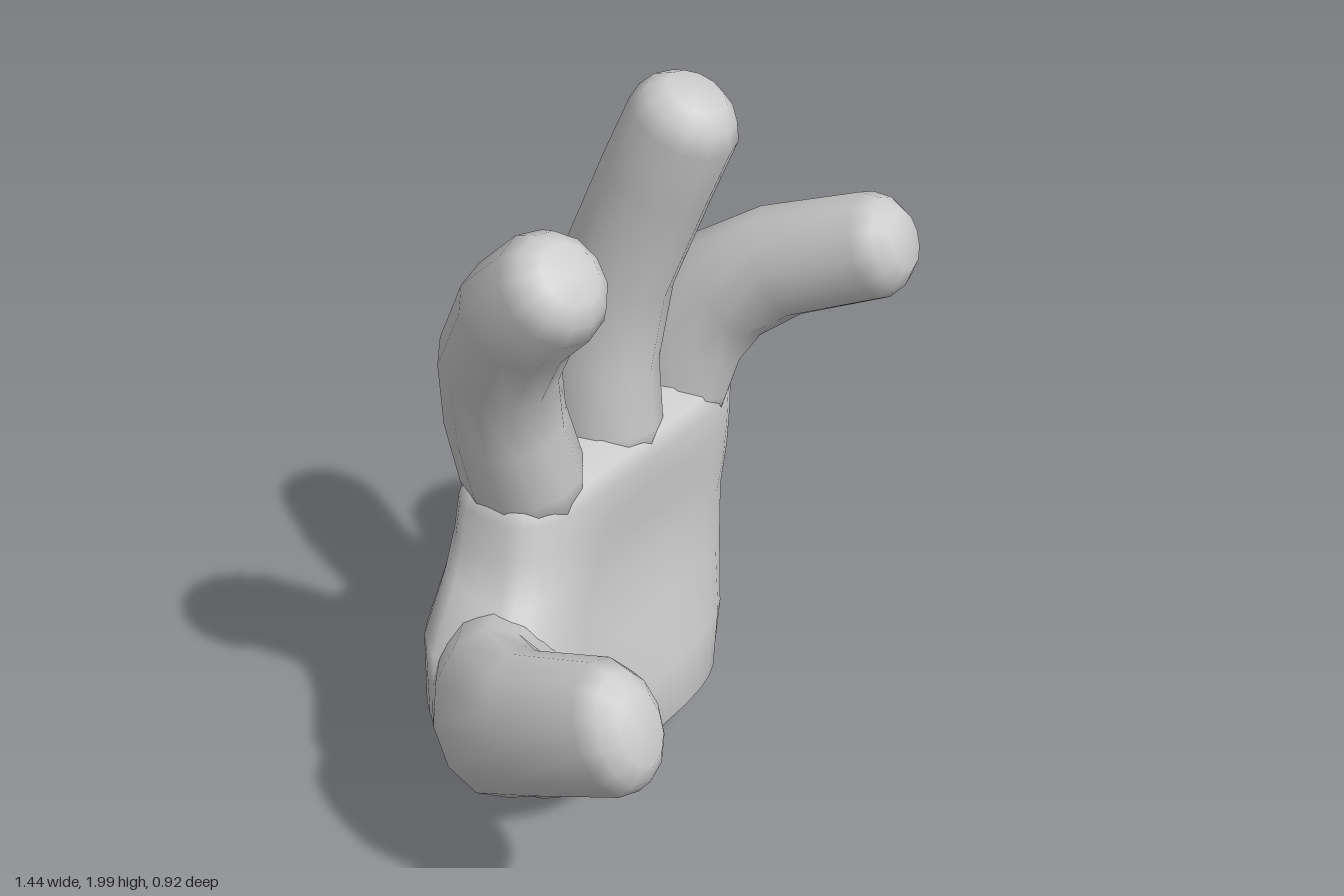
import * as THREE from 'three';

// Skin a stack of closed rings (counter-clockwise about the loft direction), with fan caps.
function loft(rings) {
  const n = rings[0].length;
  const points = rings.flat();
  const index = [];
  for (let i = 0; i < rings.length - 1; i++) {
    for (let j = 0; j < n; j++) {
      const k = (j + 1) % n;
      const a = i * n + j, b = i * n + k, c = a + n, d = b + n;
      index.push(a, b, c, b, d, c);
    }
  }
  const centre = ring => ring.reduce((s, p) => s.add(p), new THREE.Vector3()).divideScalar(n);
  const first = points.length, last = first + 1, top = (rings.length - 1) * n;
  points.push(centre(rings[0]), centre(rings[rings.length - 1]));
  for (let j = 0; j < n; j++) {
    const k = (j + 1) % n;
    index.push(first, k, j, last, top + j, top + k);
  }
  const geometry = new THREE.BufferGeometry().setFromPoints(points);
  geometry.setIndex(index);
  geometry.computeVertexNormals();
  return geometry;
}

// Sweep an oval along stations [x, y, z, half width, half depth], ending in a blunt tip.
function digit(stations, up, sides = 12) {
  const centres = stations.map(s => new THREE.Vector3(s[0], s[1], s[2]));
  const rings = [];
  const addRing = (c, t, rw, rd) => {
    const side = up.clone().cross(t).normalize();
    const depth = t.clone().cross(side);
    rings.push(Array.from({ length: sides }, (_, j) => {
      const a = (j / sides) * Math.PI * 2;
      return c.clone().addScaledVector(side, Math.cos(a) * rw).addScaledVector(depth, Math.sin(a) * rd);
    }));
  };
  const last = centres.length - 1;
  let t;
  centres.forEach((c, i) => {
    t = centres[Math.min(i + 1, last)].clone().sub(centres[Math.max(i - 1, 0)]).normalize();
    addRing(c, t, stations[i][3], stations[i][4]);
  });
  const [, , , rw, rd] = stations[last];
  addRing(centres[last].clone().addScaledVector(t, 0.05), t, rw * 0.83, rd * 0.83);
  addRing(centres[last].clone().addScaledVector(t, 0.085), t, rw * 0.54, rd * 0.54);
  return loft(rings);
}

// Palm: rounded-rectangle sections [y, xMin, xMax, zBack, zFront].
function palmGeometry() {
  const rows = [
    [0, -0.08, 0.32, -0.31, -0.16],
    [0.03, -0.2, 0.4, -0.38, -0.09],
    [0.12, -0.33, 0.48, -0.44, -0.025],
    [0.28, -0.48, 0.54, -0.45, -0.04],
    [0.48, -0.57, 0.57, -0.455, -0.065],
    [0.64, -0.52, 0.58, -0.45, -0.075],
    [0.76, -0.39, 0.59, -0.44, -0.07],
    [0.86, -0.34, 0.595, -0.435, -0.07],
    [0.95, -0.32, 0.597, -0.43, -0.072],
    [1.0, -0.3, 0.58, -0.415, -0.09],
    [1.035, -0.24, 0.52, -0.37, -0.15],
  ];
  const sides = 32;
  const bell = (v, mid, width) => Math.exp(-(((v - mid) / width) ** 2));
  const soft = v => Math.sign(v) * Math.abs(v) ** 0.62;
  return loft(rows.map(([y, x0, x1, z0, z1]) =>
    Array.from({ length: sides }, (_, j) => {
      const a = (j / sides) * Math.PI * 2;
      const front = Math.max(0, Math.cos(a));
      const x = (x0 + x1) / 2 + soft(Math.sin(a)) * (x1 - x0) / 2;
      let z = (z0 + z1) / 2 + soft(Math.cos(a)) * (z1 - z0) / 2;
      // the thumb side swings forward, more at its front to form the thumb pad
      const start = front > 0 ? -0.06 : -0.22;
      z += 0.14 * THREE.MathUtils.clamp((start - x) / 0.44, 0, 1) * bell(y, 0.46, 0.27);
      // shallow hollow in the middle of the palm
      z -= 0.035 * Math.sqrt(front) * bell(x, 0.12, 0.25) * bell(y, 0.68, 0.24);
      return new THREE.Vector3(x, y, z);
    })));
}

export function createModel() {
  const group = new THREE.Group();
  const material = new THREE.MeshStandardMaterial({ color: 0xcccccc });
  const add = (name, geometry) => {
    const mesh = new THREE.Mesh(geometry, material);
    mesh.name = name;
    group.add(mesh);
  };

  add('palm', palmGeometry());

  // Fingers curl forward, so the depth reference leans up and back.
  const fingerUp = new THREE.Vector3(0, 1, -1);
  add('indexFinger', digit([
    [-0.15, 0.9, -0.25, 0.13, 0.15],
    [-0.168, 1.02, -0.256, 0.15, 0.17],
    [-0.217, 1.2, -0.262, 0.145, 0.16],
    [-0.277, 1.4, -0.222, 0.145, 0.15],
    [-0.345, 1.6, -0.1, 0.143, 0.147],
    [-0.36, 1.71, 0.01, 0.136, 0.142],
  ], fingerUp));
  add('middleFinger', digit([
    [0.14, 0.9, -0.25, 0.14, 0.15],
    [0.142, 1.02, -0.256, 0.153, 0.17],
    [0.157, 1.2, -0.256, 0.142, 0.15],
    [0.175, 1.44, -0.216, 0.14, 0.145],
    [0.195, 1.72, -0.108, 0.135, 0.142],
    [0.2, 1.885, -0.037, 0.13, 0.14],
  ], fingerUp));
  add('littleFinger', digit([
    [0.435, 0.9, -0.25, 0.13, 0.15],
    [0.444, 1.0, -0.25, 0.15, 0.17],
    [0.475, 1.15, -0.207, 0.145, 0.165],
    [0.51, 1.27, -0.12, 0.143, 0.156],
    [0.547, 1.37, 0.02, 0.138, 0.147],
    [0.589, 1.477, 0.265, 0.129, 0.137],
  ], fingerUp));

  // Thumb grows out of the side of the palm and turns forward.
  add('thumb', digit([
    [-0.08, 0.4, -0.25, 0.14, 0.16],
    [-0.24, 0.44, -0.22, 0.18, 0.24],
    [-0.39, 0.5, -0.16, 0.177, 0.245],
    [-0.53, 0.575, -0.055, 0.16, 0.213],
    [-0.587, 0.665, 0.11, 0.138, 0.182],
    [-0.587, 0.77, 0.345, 0.13, 0.172],
  ], new THREE.Vector3(0, 1, 0)));

  return group;
}
